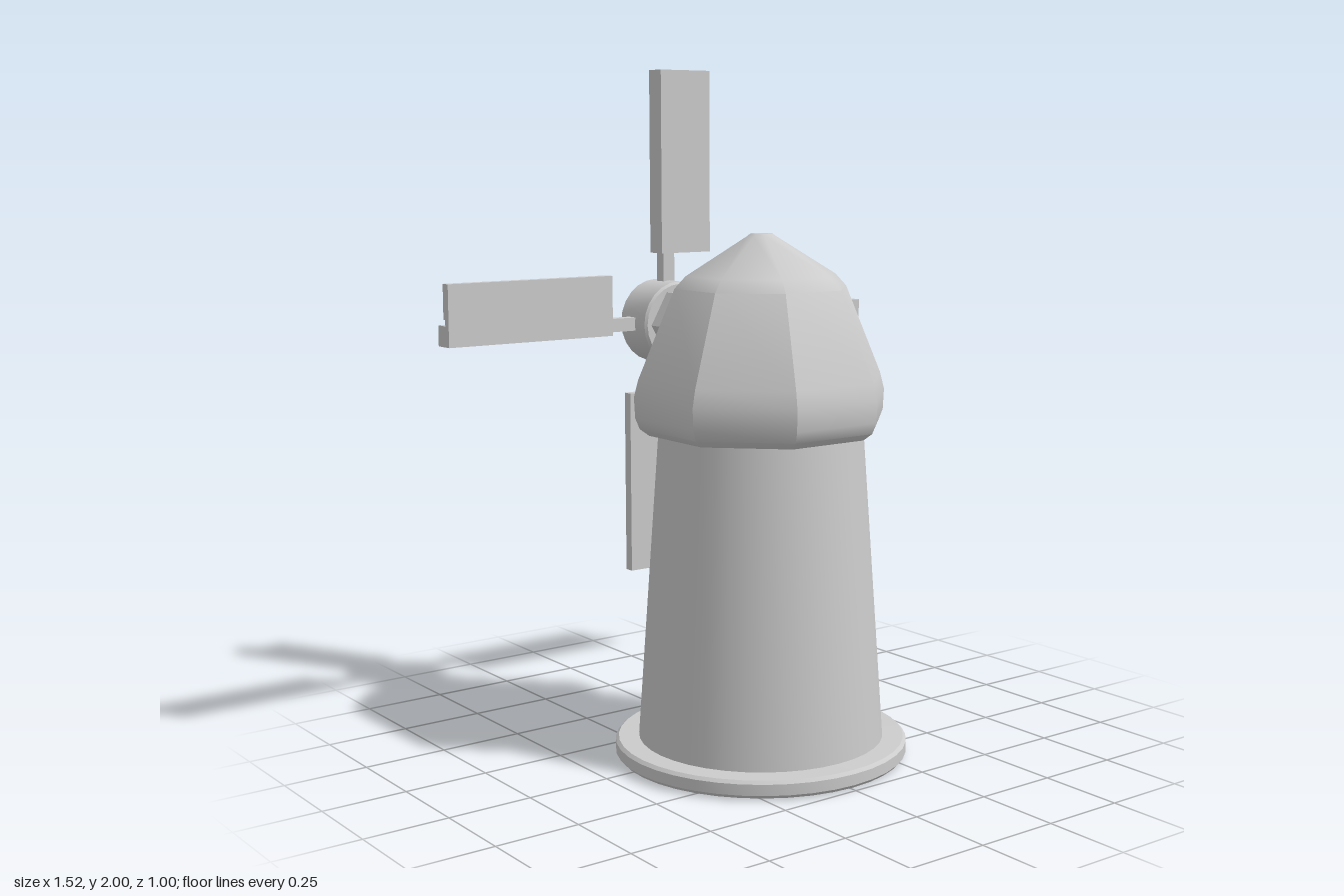
import * as THREE from 'three';
import { toCreasedNormals } from 'three/addons/utils/BufferGeometryUtils.js';

const mat = new THREE.MeshStandardMaterial({ color: 0xcccccc, side: THREE.DoubleSide });
const TOWER_Z = 0.067;
const HUB_Y = 1.24;

function add(parent, name, geo, x = 0, y = 0, z = 0) {
  const m = new THREE.Mesh(geo, mat);
  m.name = name;
  m.position.set(x, y, z);
  parent.add(m);
  return m;
}

function lathe(points, sides, phi = 0, crease = 0.6) {
  const pts = points.map(([r, y]) => new THREE.Vector2(r, y));
  return toCreasedNormals(new THREE.LatheGeometry(pts, sides, phi), crease);
}

// Upright outline with a round top
function arch(half, bottom, top, Type = THREE.Shape) {
  const s = new Type();
  s.moveTo(-half, bottom);
  s.lineTo(half, bottom);
  s.lineTo(half, top - half);
  s.absarc(0, top - half, half, 0, Math.PI, false);
  s.closePath();
  return s;
}

// Arched frame with a recessed panel, standing on the tower's -z side
function archedOpening(name, half, bottom, top, zIn, zOut, sill) {
  const g = new THREE.Group();
  g.name = name;
  const rim = 0.026;
  const extrude = (shape, depth) => toCreasedNormals(new THREE.ExtrudeGeometry(shape,
    { depth, bevelEnabled: false, curveSegments: 8 }), 0.5);
  const outer = arch(half, bottom, top);
  outer.holes.push(arch(half - rim, bottom + sill, top - rim, THREE.Path));
  add(g, name + 'Frame', extrude(outer, zIn - zOut), 0, 0, zOut);
  const inner = arch(half - rim, bottom + sill, top - rim);
  add(g, name + 'Panel', extrude(inner, zIn - zOut - 0.035), 0, 0, zOut + 0.035);
  return g;
}

// One sail pointing up: arm, spar, and a panel flush with the spar's +z side
function sail(i) {
  const g = new THREE.Group();
  g.name = 'sail' + (i + 1);
  const len = 0.55, mid = 0.485;
  add(g, 'arm', new THREE.BoxGeometry(0.04, 0.14, 0.035), 0, 0.16, -0.412);
  add(g, 'spar', new THREE.BoxGeometry(0.06, len, 0.062), 0, mid, -0.419);
  add(g, 'web', new THREE.BoxGeometry(0.03, len, 0.02), 0.04, mid, -0.398);
  add(g, 'panel', new THREE.BoxGeometry(0.102, len, 0.03), 0.099, mid, -0.403);
  g.rotation.z = -i * Math.PI / 2;
  return g;
}

export function createModel() {
  const model = new THREE.Group();
  model.name = 'windmill';

  // Base ring, open underneath
  add(model, 'baseRing', lathe([
    [0.35, 0.005], [0.42, 0.005], [0.429, 0.015], [0.429, 0.047],
    [0.42, 0.056], [0.345, 0.058], [0.35, 0.005]], 40), 0, 0, TOWER_Z);
  add(model, 'doorStep', new THREE.BoxGeometry(0.24, 0.05, 0.08), 0, 0.03, -0.33);

  // Hollow tapering tower
  add(model, 'tower', lathe([[0.363, 0], [0.36, 0.056], [0.296, 0.97]], 40), 0, 0, TOWER_Z);

  // Eight-sided cap; radii are given to the flat sides
  const k = 1 / Math.cos(Math.PI / 8);
  const cap = [[0.27, 0.96], [0.305, 0.958], [0.33, 0.978], [0.342, 1.01],
    [0.345, 1.07], [0.333, 1.12], [0.235, 1.375], [0.205, 1.41], [0.04, 1.52],
    [0.03, 1.528], [0, 1.528]];
  add(model, 'cap', lathe(cap.map(([r, y]) => [r * k, y]), 8, Math.PI / 8), 0, 0, TOWER_Z);

  model.add(archedOpening('door', 0.11, 0.04, 0.42, -0.25, -0.37, 0.015));
  model.add(archedOpening('window', 0.11, 0.57, 0.84, -0.225, -0.31, 0.026));

  // Rotor: hexagonal axle, round hub, nose and four sails
  const rotor = new THREE.Group();
  rotor.name = 'rotor';
  rotor.position.y = HUB_Y;
  model.add(rotor);
  const axle = new THREE.CylinderGeometry(0.113, 0.113, 0.2, 6);
  axle.rotateY(Math.PI / 6);
  axle.rotateX(Math.PI / 2);
  add(rotor, 'axle', toCreasedNormals(axle, 0.6), 0, 0, -0.225);
  const shaft = new THREE.CylinderGeometry(0.08, 0.08, 0.04, 24);
  add(rotor, 'shaft', shaft.rotateX(Math.PI / 2), 0, 0, -0.335);
  const hub = lathe([[0, -0.07], [0.12, -0.07], [0.127, -0.063], [0.127, 0.063],
    [0.12, 0.07], [0, 0.07]], 24);
  add(rotor, 'hub', hub.rotateX(-Math.PI / 2), 0, 0, -0.406);
  const nose = lathe([[0.07, 0], [0.084, 0.008], [0.084, 0.026], [0.075, 0.034], [0, 0.034]], 24);
  add(rotor, 'nose', nose.rotateX(-Math.PI / 2), 0, 0, -0.474);
  for (let i = 0; i < 4; i++) rotor.add(sail(i));

  return model;
}
